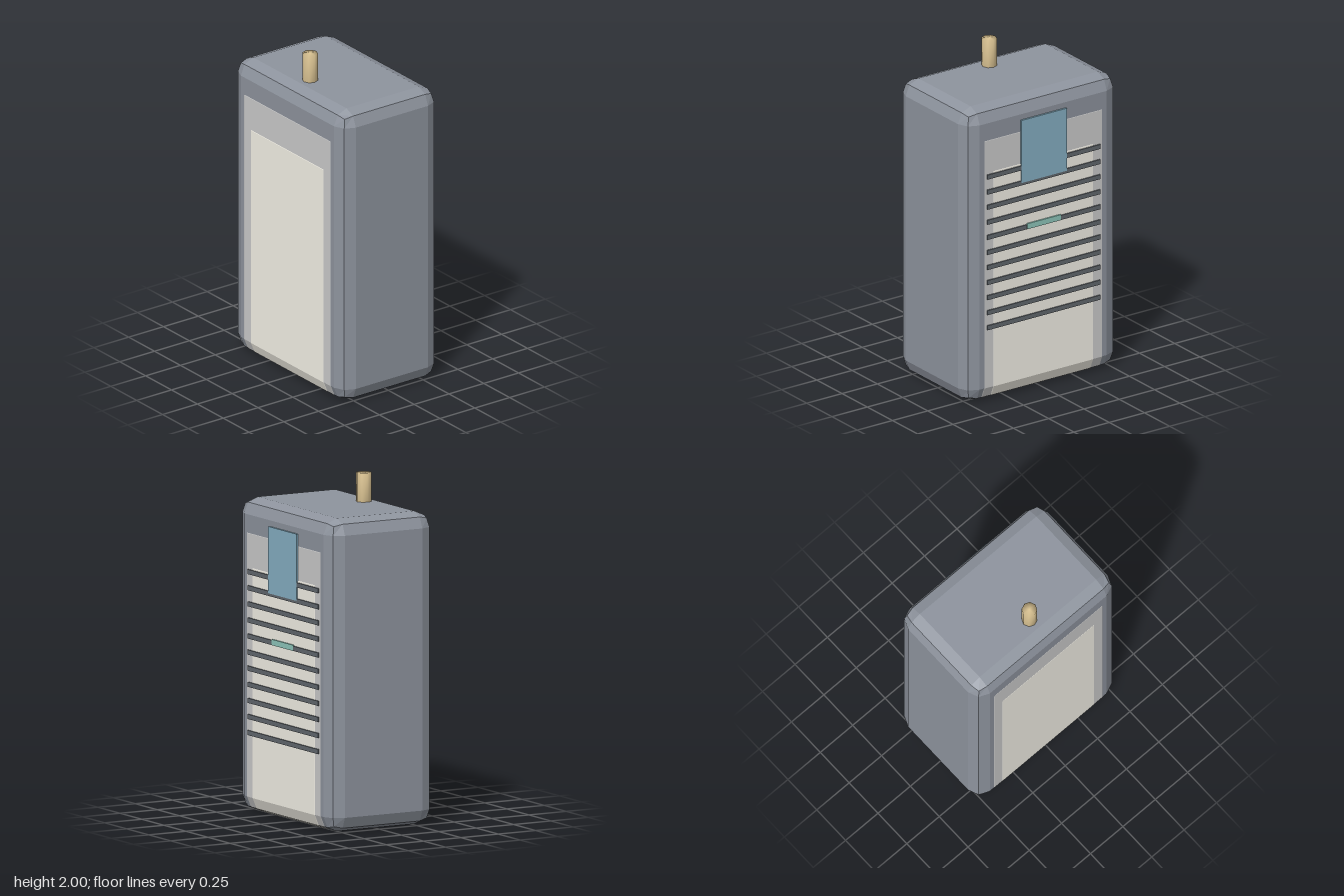
import * as THREE from 'three';
import { RoundedBoxGeometry } from 'three/addons/geometries/RoundedBoxGeometry.js';
import { mergeVertices } from 'three/addons/utils/BufferGeometryUtils.js';

const BODY_Z = 0.004;

const material = (color, flatShading = true) =>
  new THREE.MeshStandardMaterial({ color, flatShading });

export function createModel() {
  const model = new THREE.Group();

  const add = (name, geometry, mat, x, y, z) => {
    const mesh = new THREE.Mesh(geometry, mat);
    mesh.name = name;
    mesh.position.set(x, y, z);
    model.add(mesh);
    return mesh;
  };

  // Chamfered block standing on y = bottom
  const block = (name, width, height, depth, bottom, mat) =>
    add(name, new RoundedBoxGeometry(width, height, depth, 1, 0.09), mat, 0, bottom + height / 2, BODY_Z);

  // Outer case, with two narrower shells that surface on its front, back and underside
  block('case', 1.08, 1.828, 0.698, 0.002, material(0x8e949e));
  block('innerShell', 1.01, 1.719, 0.7, 0.001, material(0xcccccc));
  block('core', 0.88, 1.52, 0.702, 0, material(0xf5f2e8));

  // Antenna stub with shading that runs smoothly over its rim
  const stub = new THREE.CylinderGeometry(0.045, 0.045, 0.18, 8);
  stub.deleteAttribute('normal');
  stub.deleteAttribute('uv');
  const stubGeometry = mergeVertices(stub);
  stubGeometry.computeVertexNormals();
  add('antenna', stubGeometry, material(0xe0c896, false), 0, 1.91, 0.19);

  // Row of grille bars across the back
  const barGeometry = new THREE.BoxGeometry(0.8, 0.028, 0.02);
  const barMaterial = material(0x62686e);
  for (let i = 0; i < 11; i++) {
    add('grilleBar', barGeometry, barMaterial, 0, 0.467 + i * 0.094, -0.344);
  }

  // Plate over the top of the grille and a small strip on a middle bar
  add('backPlate', new THREE.BoxGeometry(0.32, 0.39, 0.02), material(0x86b0c4), 0, 1.51, -0.346);
  add('indicatorStrip', new THREE.BoxGeometry(0.24, 0.034, 0.02), material(0x8fc8bc), 0, 1.034, -0.346);

  return model;
}
